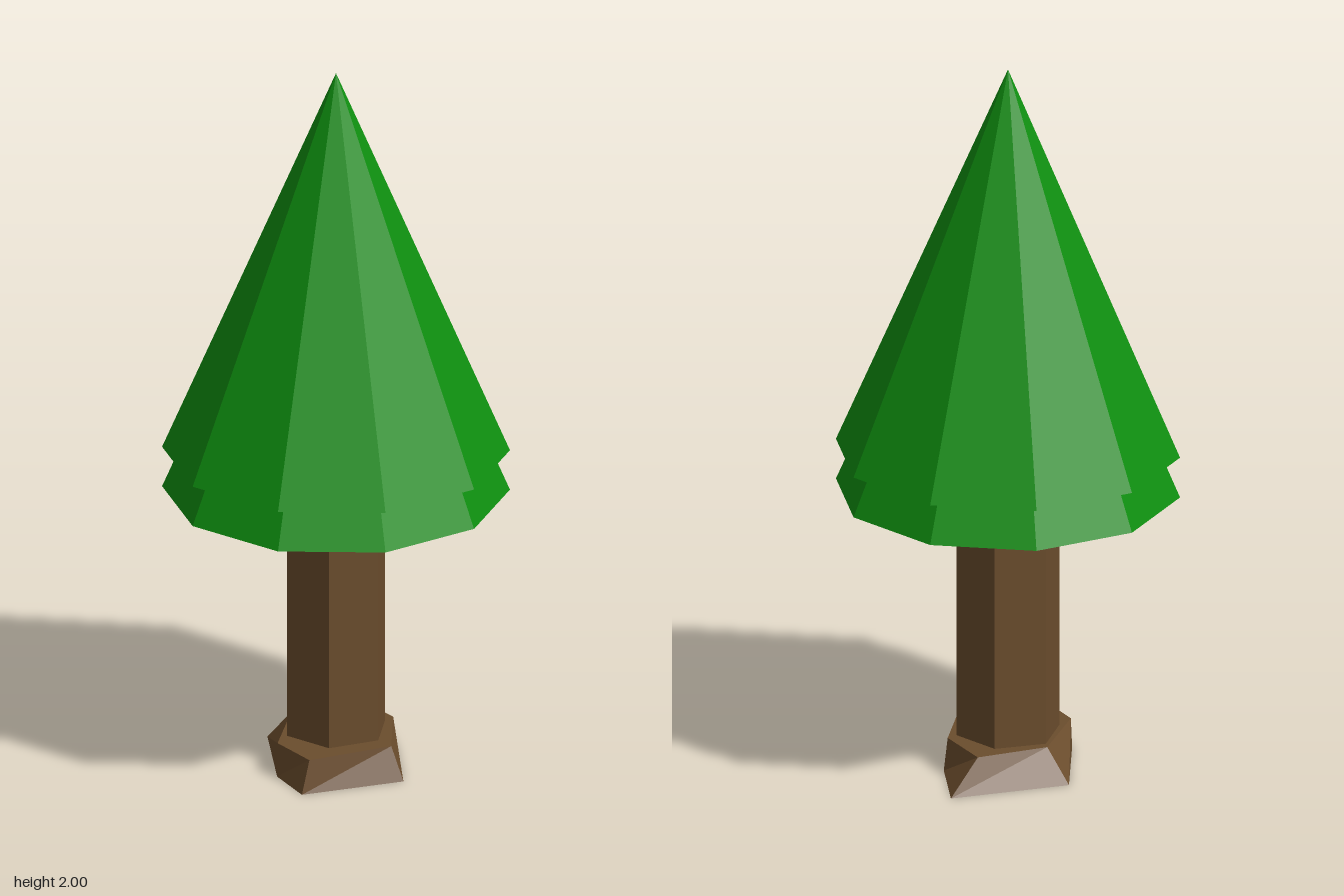
import * as THREE from 'three';

// Closed solid between two rings of [x, z] corners, ordered anticlockwise from above
function loftRings(bottom, top, y0, y1) {
  const n = bottom.length;
  const positions = [];
  const index = [];
  bottom.forEach(([x, z]) => positions.push(x, y0, z));
  top.forEach(([x, z]) => positions.push(x, y1, z));
  for (let i = 0; i < n; i++) {
    const j = (i + 1) % n;
    index.push(i, j, n + j, i, n + j, n + i);
  }
  for (let i = 1; i < n - 1; i++) {
    index.push(n, n + i, n + i + 1, 0, i + 1, i);
  }
  const geometry = new THREE.BufferGeometry();
  geometry.setAttribute('position', new THREE.Float32BufferAttribute(positions, 3));
  geometry.setIndex(index);
  const flat = geometry.toNonIndexed();
  flat.computeVertexNormals();
  return flat;
}

export function createModel() {
  const tree = new THREE.Group();
  tree.name = 'tree';

  const bark = new THREE.MeshStandardMaterial({ color: 0x6b4d2d, flatShading: true });
  bark.name = 'bark brown';
  const foliage = new THREE.MeshStandardMaterial({ color: 0x0f9010, flatShading: true });
  foliage.name = 'foliage green';

  const add = (name, geometry, material, y = 0) => {
    const mesh = new THREE.Mesh(geometry, material);
    mesh.name = name;
    mesh.position.y = y;
    tree.add(mesh);
  };

  // Uneven six-sided root flare
  const rootBottom = [[-0.255, 0.08], [-0.015, 0.24], [0.17, 0.075], [0.303, -0.083], [0.01, -0.24], [-0.195, -0.05]];
  const rootTop = [[-0.222, 0.08], [-0.01, 0.195], [0.155, 0.075], [0.2, -0.083], [0.015, -0.163], [-0.18, -0.06]];
  add('rootFlare', loftRings(rootBottom, rootTop, 0, 0.09), bark);

  // Hexagonal trunk
  const trunkBase = 0.04;
  const trunkTop = 0.8;
  add('trunk', new THREE.CylinderGeometry(0.143, 0.143, trunkTop - trunkBase, 6), bark, (trunkBase + trunkTop) / 2);

  // Two equal ten-sided foliage cones, one raised above the other
  const coneHeight = 1.095;
  [['lowerFoliage', 0.79], ['upperFoliage', 0.905]].forEach(([name, base]) => {
    add(name, new THREE.ConeGeometry(0.468, coneHeight, 10), foliage, base + coneHeight / 2);
  });

  return tree;
}
